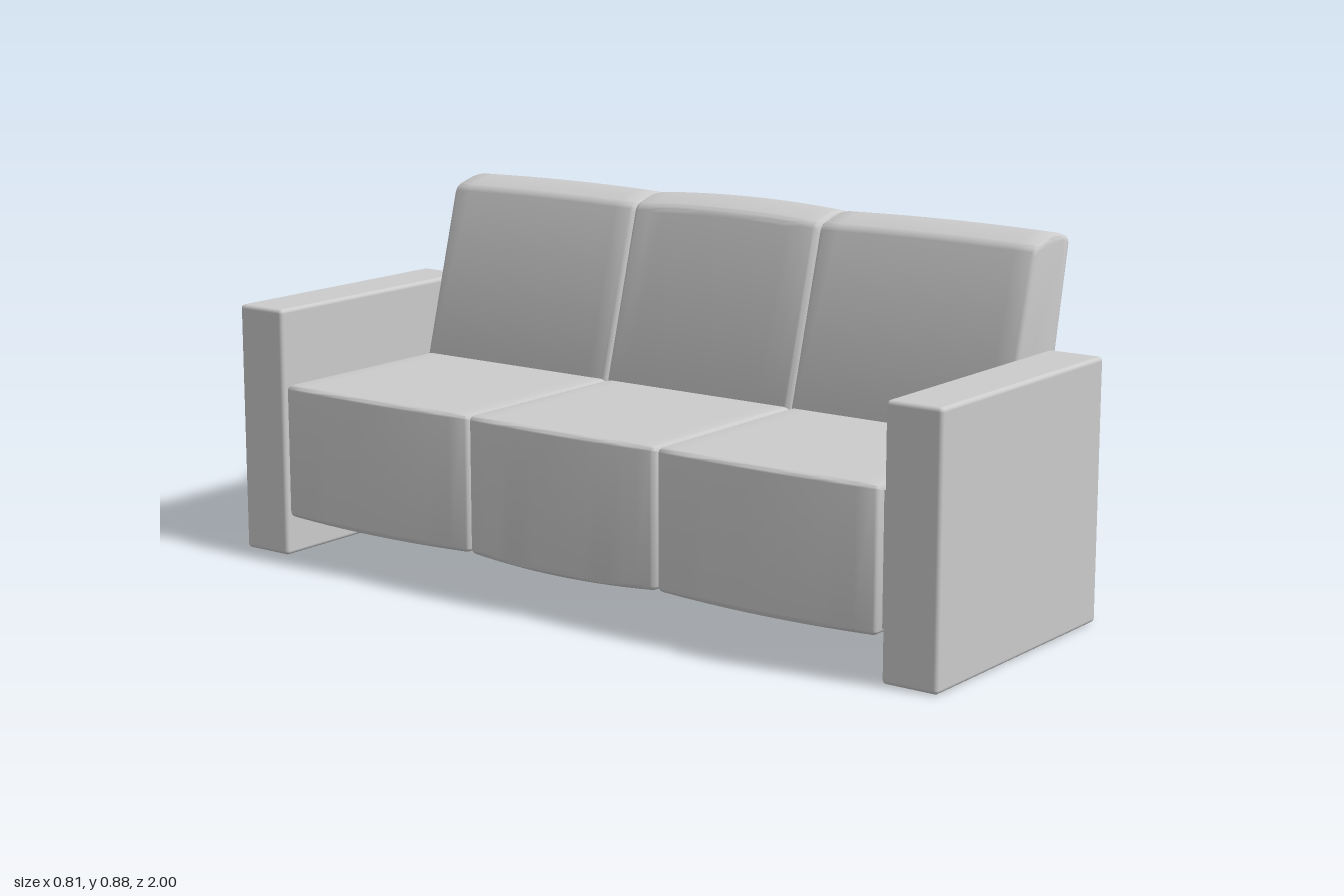
import * as THREE from 'three';
import { toCreasedNormals } from 'three/addons/utils/BufferGeometryUtils.js';
import { RoundedBoxGeometry } from 'three/addons/geometries/RoundedBoxGeometry.js';

const material = new THREE.MeshStandardMaterial({ color: 0xcccccc });

// Closed outline through [x, y, corner size] points, each corner rounded
function roundedOutline(points) {
  const shape = new THREE.Shape();
  const n = points.length;
  points.forEach(([x, y, r], i) => {
    const corner = new THREE.Vector2(x, y);
    const toward = ([px, py]) =>
      new THREE.Vector2(px, py).sub(corner).setLength(r).add(corner);
    const a = toward(points[(i + n - 1) % n]);
    const b = toward(points[(i + 1) % n]);
    if (i === 0) shape.moveTo(a.x, a.y);
    else shape.lineTo(a.x, a.y);
    shape.quadraticCurveTo(x, y, b.x, b.y);
  });
  return shape;
}

// Cushion: side outline extruded across z with soft ends, then puffed by a rule
function cushion(name, outline, z0, z1, puff) {
  const soft = 0.014;
  const width = z1 - z0;
  let geo = new THREE.ExtrudeGeometry(roundedOutline(outline), {
    depth: width - 2 * soft, steps: 14, curveSegments: 6,
    bevelEnabled: true, bevelThickness: soft, bevelSize: soft,
    bevelOffset: -soft, bevelSegments: 4,
  });
  geo.translate(0, 0, soft - width / 2);
  const pos = geo.attributes.position;
  for (let i = 0; i < pos.count; i++) {
    const t = pos.getZ(i) / (width / 2);
    const [dx, dy] = puff(pos.getX(i), pos.getY(i));
    const k = 1 - t * t;
    pos.setXY(i, pos.getX(i) + dx * k, pos.getY(i) + dy * k);
  }
  geo.deleteAttribute('uv');
  geo = toCreasedNormals(geo, 0.7);
  const mesh = new THREE.Mesh(geo, material);
  mesh.name = name;
  mesh.position.z = (z0 + z1) / 2;
  return mesh;
}

const seatOutline = [
  [-0.395, 0.102, 0.015], [0.28, 0.102, 0.015],
  [0.28, 0.43, 0.015], [-0.395, 0.43, 0.015],
];

const backOutline = [
  [0.2, 0.108, 0.01], [0.298, 0.104, 0.012], [0.308, 0.4, 0.14],
  [0.401, 0.853, 0.02], [0.33, 0.874, 0.04], [0.239, 0.849, 0.02],
  [0.12, 0.42, 0.01], [0.2, 0.36, 0.02],
];

export function createModel() {
  const sofa = new THREE.Group();
  sofa.name = 'sofa';

  // Three seat and back cushions, the middle one slightly fuller
  const bays = [
    ['Right', -0.85, -0.273, 0.004], ['Middle', -0.27, 0.27, 0.01], ['Left', 0.273, 0.85, 0.004],
  ];
  for (const [side, z0, z1, rise] of bays) {
    sofa.add(cushion('seatCushion' + side, seatOutline, z0, z1,
      (x, y) => [x < 0 ? -0.012 : 0, y < 0.25 ? -rise : 0]));
    sofa.add(cushion('backCushion' + side, backOutline, z0, z1,
      (x, y) => [x > 0.29 ? 0.006 : 0, y > 0.8 ? rise : y < 0.2 ? -rise : 0]));
  }

  // Slab arms at both ends
  for (const s of [-1, 1]) {
    const arm = new THREE.Mesh(new RoundedBoxGeometry(0.682, 0.612, 0.138, 4, 0.01), material);
    arm.name = s > 0 ? 'armLeft' : 'armRight';
    arm.position.set(-0.05, 0.306, s * 0.931);
    sofa.add(arm);

    // Narrow filler between arm and seat
    const filler = new THREE.Mesh(new THREE.BoxGeometry(0.64, 0.3, 0.04), material);
    filler.name = s > 0 ? 'fillerLeft' : 'fillerRight';
    filler.position.set(-0.05, 0.265, s * 0.855);
    sofa.add(filler);
  }
  return sofa;
}
